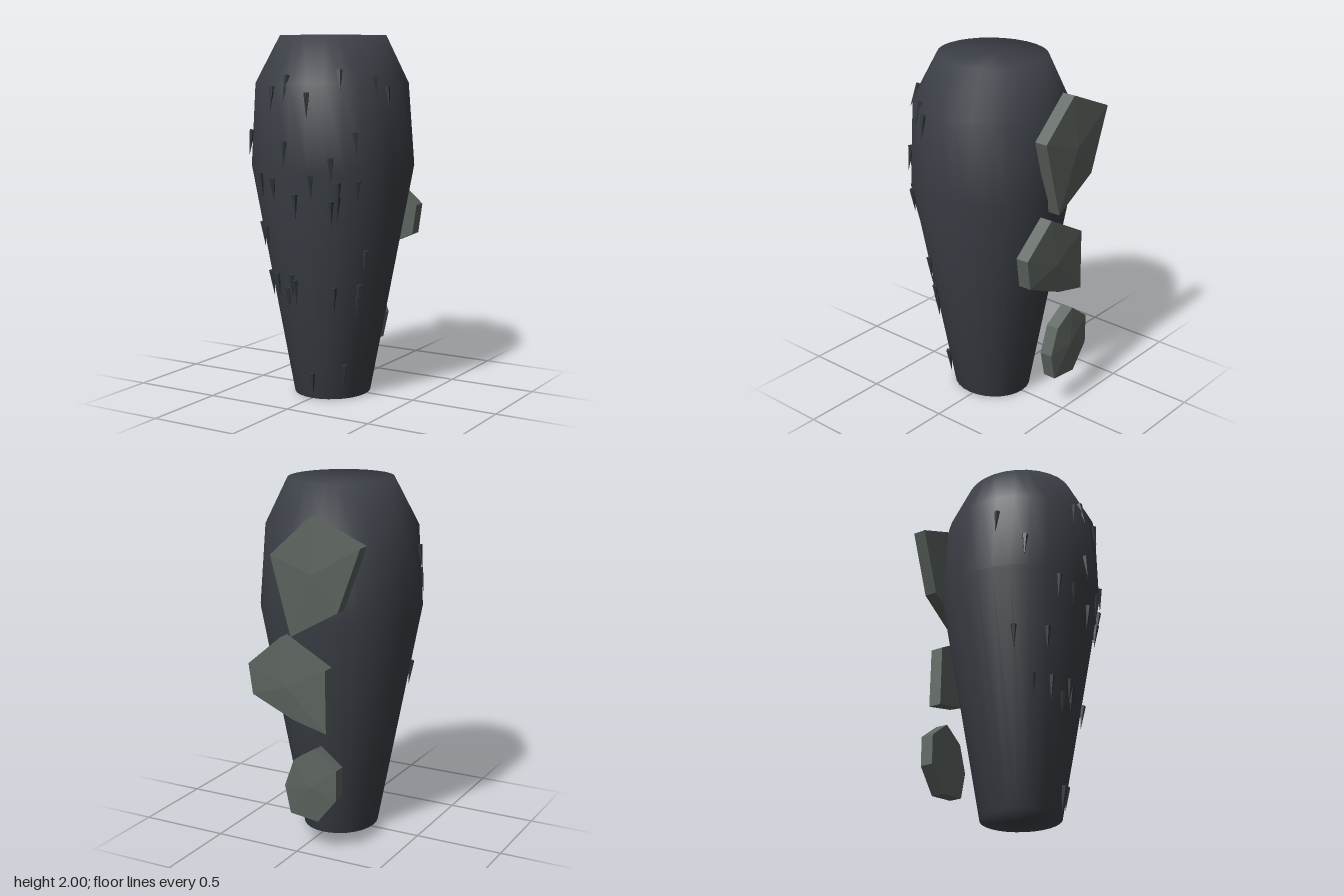
import * as THREE from 'three';
import { ConvexGeometry } from 'three/addons/geometries/ConvexGeometry.js';

// Body rings: height, half width, half depth, z centre
const RINGS = [
  [0, 0.21, 0.225, 0.025],
  [1.29, 0.455, 0.445, 0.025],
  [1.74, 0.42, 0.43, 0.032],
  [2, 0.287, 0.307, 0.02],
];

// Interpolated ring at height y
function ringAt(y) {
  let i = 0;
  while (i < RINGS.length - 2 && y > RINGS[i + 1][0]) i++;
  const a = RINGS[i], b = RINGS[i + 1];
  const t = (y - a[0]) / (b[0] - a[0]);
  return a.map((v, k) => v + (b[k] - v) * t);
}

// Point on the front of the body at a side angle and height
function surface(angle, y) {
  const [, w, d, c] = ringAt(y);
  return new THREE.Vector3(w * Math.sin(angle), y, c + d * Math.cos(angle));
}

function makeBody(material) {
  const profile = [[0, 0], ...RINGS.map(([y, w]) => [w, y]), [0, 2]];
  const geo = new THREE.LatheGeometry(profile.map(([r, y]) => new THREE.Vector2(r, y)), 28);
  // Stretch each ring to its own depth and centre
  const p = geo.attributes.position;
  for (let i = 0; i < p.count; i++) {
    const [, w, d, c] = ringAt(p.getY(i));
    p.setZ(i, c + (p.getZ(i) * d) / w);
  }
  const body = new THREE.Mesh(geo, material);
  body.name = 'body';
  return body;
}

// Small spikes on the front: x and y of the blunt upper end
const SPIKES = [
  [-0.12, 1.73], [-0.03, 1.79], [0.1, 1.7], [0.23, 1.82], [0.36, 1.78], [0.405, 1.73],
  [-0.415, 1.64], [-0.36, 1.48], [-0.03, 1.44], [0.32, 1.49], [0.22, 1.36], [-0.22, 1.26],
  [-0.12, 1.24], [0.12, 1.27], [0.33, 1.24], [0.25, 1.23], [0.02, 1.16], [0.24, 1.15],
  [0.21, 1.13], [-0.35, 0.96], [-0.23, 0.96], [0.32, 0.85], [-0.25, 0.7], [-0.17, 0.7],
  [-0.05, 0.71], [-0.03, 0.68], [-0.09, 0.63], [0.18, 0.65], [0.28, 0.66], [0.27, 0.6],
  [0.02, 0.15], [0.18, 0.2],
];

function makeSpikes(material) {
  const group = new THREE.Group();
  group.name = 'spikes';
  const geo = new THREE.ConeGeometry(0.017, 0.14, 5);
  const up = new THREE.Vector3(0, 1, 0);
  for (const [x, y] of SPIKES) {
    const angle = Math.asin(THREE.MathUtils.clamp(x / ringAt(y)[1], -1, 1));
    const top = surface(angle, y);
    const tip = surface(angle, y - 0.135);
    const lift = new THREE.Vector3(Math.sin(angle), 0, Math.cos(angle));
    top.addScaledVector(lift, 0.004);
    tip.addScaledVector(lift, 0.014);
    const spike = new THREE.Mesh(geo, material);
    spike.name = 'spike';
    spike.position.copy(top).add(tip).multiplyScalar(0.5);
    spike.quaternion.setFromUnitVectors(up, tip.sub(top).normalize());
    group.add(spike);
  }
  return group;
}

// Outlines of the stone plates behind the body
const PLATES = {
  upperPlate: [[-0.07, 1.85], [-0.37, 1.72], [-0.24, 1.37], [0.04, 1.21], [0.16, 1.64]],
  middlePlate: [[0.105, 1.2], [-0.165, 1.05], [-0.17, 0.7], [0.03, 0.75], [0.28, 0.86], [0.305, 1.03]],
  lowerPlate: [[-0.1, 0.6], [0.03, 0.52], [0.085, 0.365], [0.05, 0.21], [-0.12, 0.19], [-0.23, 0.33], [-0.23, 0.5]],
};

// Flat slab with a shallow point on its back face
function makePlate(name, outline, material) {
  const points = [];
  let cx = 0, cy = 0;
  for (const [x, y] of outline) {
    points.push(new THREE.Vector3(x, y, -0.4), new THREE.Vector3(x, y, -0.475));
    cx += x / outline.length;
    cy += y / outline.length;
  }
  points.push(new THREE.Vector3(cx, cy, -0.49));
  const plate = new THREE.Mesh(new ConvexGeometry(points), material);
  plate.name = name;
  return plate;
}

export function createModel() {
  const mat = (name, color, flatShading = false) => {
    const m = new THREE.MeshStandardMaterial({ color, flatShading });
    m.name = name;
    return m;
  };
  const hide = mat('dark slate', 0x3b3f46);
  const spike = mat('dark spike', 0x32383b, true);
  const stone = mat('grey green stone', 0x5b635e, true);

  const model = new THREE.Group();
  model.name = 'spikedLimb';
  model.add(makeBody(hide), makeSpikes(spike));
  for (const [name, outline] of Object.entries(PLATES)) model.add(makePlate(name, outline, stone));
  return model;
}
